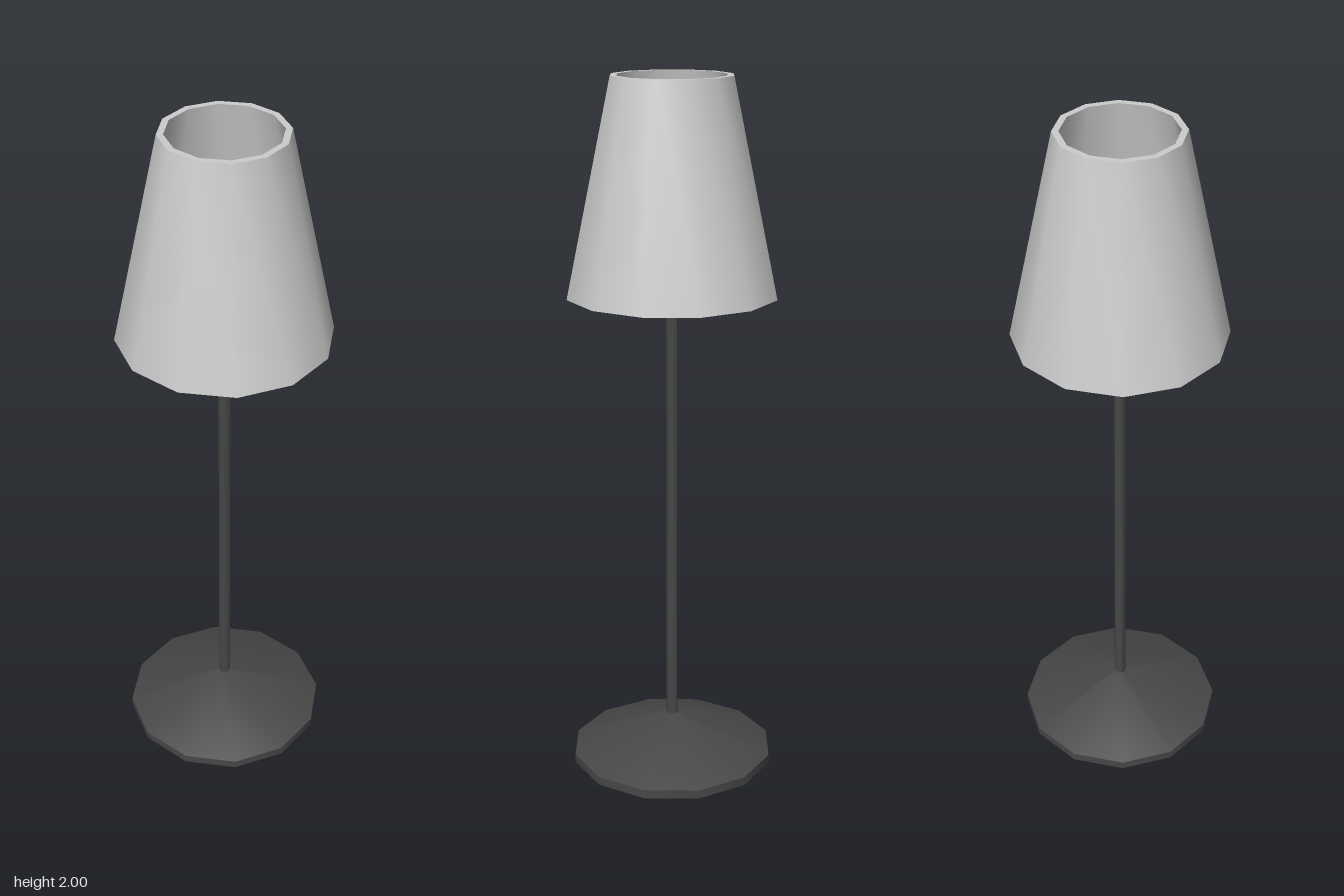
import * as THREE from 'three';
import { toCreasedNormals } from 'three/addons/utils/BufferGeometryUtils.js';

const SIDES = 12;
const shadeMaterial = new THREE.MeshStandardMaterial({ color: 0xcccccc });
const darkMaterial = new THREE.MeshStandardMaterial({ color: 0x474747 });

// Turned part: profile of [radius, height], smooth around, sharp at the rims
function turned(name, profile, material) {
  const points = profile.map(([r, y]) => new THREE.Vector2(r, y));
  const geometry = toCreasedNormals(new THREE.LatheGeometry(points, SIDES), 0.7);
  const mesh = new THREE.Mesh(geometry, material);
  mesh.name = name;
  return mesh;
}

export function createModel() {
  const lamp = new THREE.Group();
  lamp.name = 'tableLamp';

  // Low cone on a thin disc
  lamp.add(turned('base', [[0, 0], [0.297, 0], [0.297, 0.025], [0.017, 0.13], [0, 0.13]], darkMaterial));

  // Slim stem reaching up inside the shade
  lamp.add(turned('pole', [[0, 0.1], [0.017, 0.1], [0.017, 1.7], [0, 1.7]], darkMaterial));

  // Hollow tapered shade, open at both ends
  lamp.add(turned('shade', [[0.297, 1.405], [0.17, 2], [0.152, 2], [0.265, 1.405], [0.297, 1.405]], shadeMaterial));

  return lamp;
}
